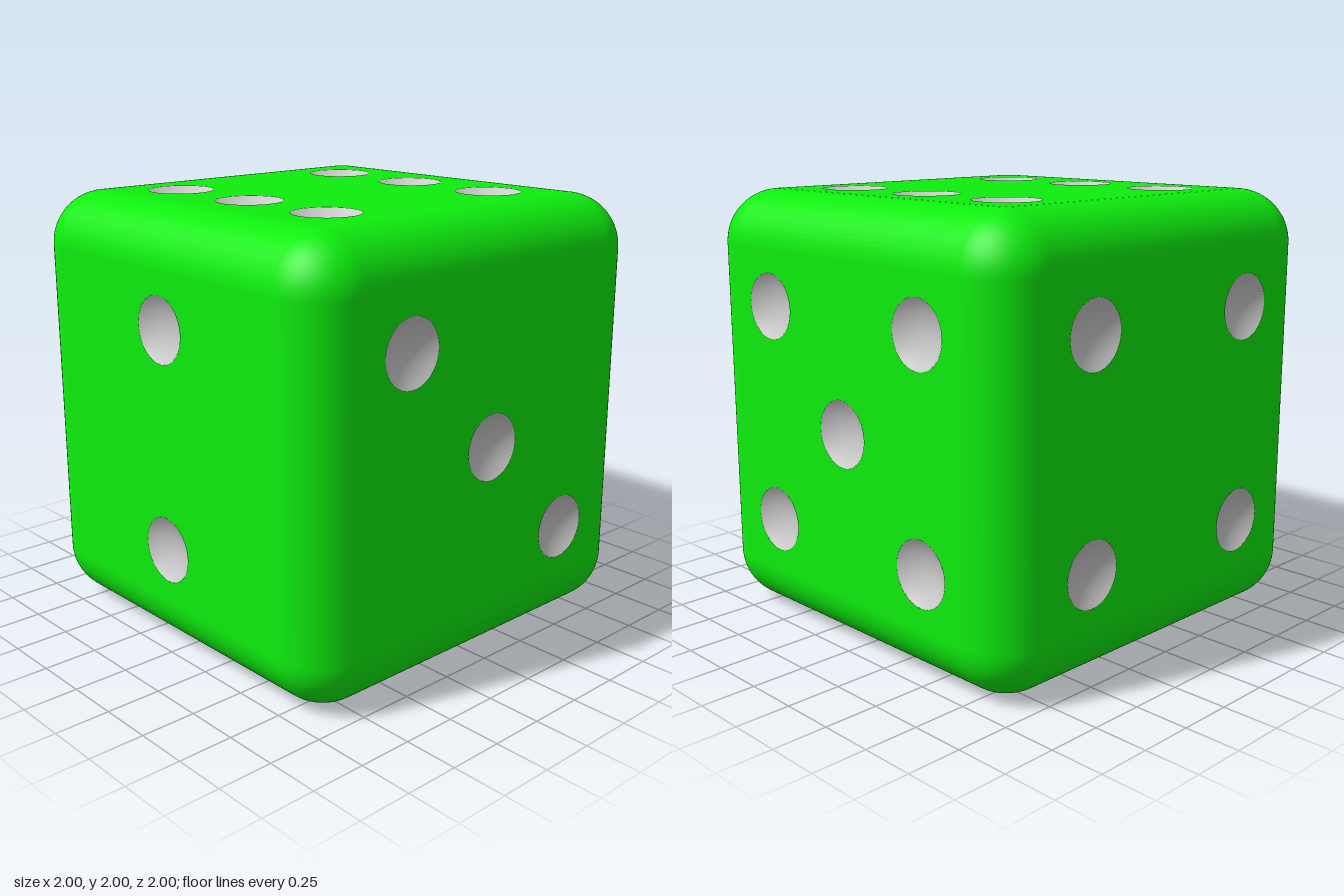
import * as THREE from 'three';
import { RoundedBoxGeometry } from 'three/addons/geometries/RoundedBoxGeometry.js';

const FILLET = 0.25, FLAT = 1 - FILLET;
const PIP_R = 0.15, BOWL_R = 0.25, SIDES = 48;

// Rounded edges and corners only: a rounded box without its six flat centres
function roundedFrame() {
  const box = new RoundedBoxGeometry(2, 2, 2, 10, FILLET);
  const source = box.index ? box.toNonIndexed() : box;
  const p = source.attributes.position, n = source.attributes.normal;
  const positions = [], normals = [];
  for (let i = 0; i < p.count; i += 3) {
    const corners = [i, i + 1, i + 2];
    const flat = [0, 1, 2].some((axis) =>
      corners.every((j) => Math.abs(p.getComponent(j, axis)) > 0.99999));
    if (flat) continue;
    for (const j of corners) {
      positions.push(p.getX(j), p.getY(j), p.getZ(j));
      normals.push(n.getX(j), n.getY(j), n.getZ(j));
    }
  }
  const geometry = new THREE.BufferGeometry();
  geometry.setAttribute('position', new THREE.Float32BufferAttribute(positions, 3));
  geometry.setAttribute('normal', new THREE.Float32BufferAttribute(normals, 3));
  return geometry;
}

// Flat square with a round hole for each pip
function facePlate(pips) {
  const shape = new THREE.Shape();
  shape.moveTo(-FLAT, -FLAT).lineTo(FLAT, -FLAT).lineTo(FLAT, FLAT).lineTo(-FLAT, FLAT).closePath();
  for (const [x, y] of pips) {
    shape.holes.push(new THREE.Path().absarc(x, y, PIP_R, 0, Math.PI * 2, true));
  }
  return new THREE.ShapeGeometry(shape, SIDES);
}

// Shallow spherical hollow opening towards +z
function pipBowl() {
  const rimAngle = Math.asin(PIP_R / BOWL_R), steps = 10;
  const centre = BOWL_R * Math.cos(rimAngle);
  const profile = [];
  for (let i = 0; i <= steps; i++) {
    const a = rimAngle * (1 - i / steps);
    profile.push(new THREE.Vector2(BOWL_R * Math.sin(a), centre - BOWL_R * Math.cos(a)));
  }
  return new THREE.LatheGeometry(profile, SIDES).rotateX(Math.PI / 2);
}

export function createModel() {
  const model = new THREE.Group();
  model.name = 'die';
  const green = new THREE.MeshStandardMaterial({ color: 0x0eee0e });
  const grey = new THREE.MeshStandardMaterial({ color: 0xcccccc, side: THREE.DoubleSide });

  const body = new THREE.Group();
  body.name = 'body';
  body.position.y = 1;
  model.add(body);

  const frame = new THREE.Mesh(roundedFrame(), green);
  frame.name = 'roundedEdges';
  body.add(frame);

  // Pip layouts, in each face's own plane
  const d = 0.5;
  const diagonal = [[-d, d], [d, -d]];
  const four = [...diagonal, [d, d], [-d, -d]];
  const q = Math.PI / 2;
  const faces = [
    ['front', 0, 0, [[0, d], [0, -d]]],
    ['left', 0, q, [...diagonal, [0, 0]]],
    ['back', 0, 2 * q, [...four, [0, 0]]],
    ['right', 0, -q, four],
    ['top', -q, 0, [...four, [0, d], [0, -d]]],
    ['bottom', q, 0, [[0, 0]]],
  ];

  const bowl = pipBowl();
  for (const [name, rx, ry, pips] of faces) {
    const face = new THREE.Group();
    face.name = name + 'Face';
    face.rotation.set(rx, ry, 0);
    const plate = new THREE.Mesh(facePlate(pips), green);
    plate.name = name + 'Plate';
    plate.position.z = 1;
    face.add(plate);
    for (const [x, y] of pips) {
      const pip = new THREE.Mesh(bowl, grey);
      pip.name = 'pip';
      pip.position.set(x, y, 1);
      face.add(pip);
    }
    body.add(face);
  }
  return model;
}
